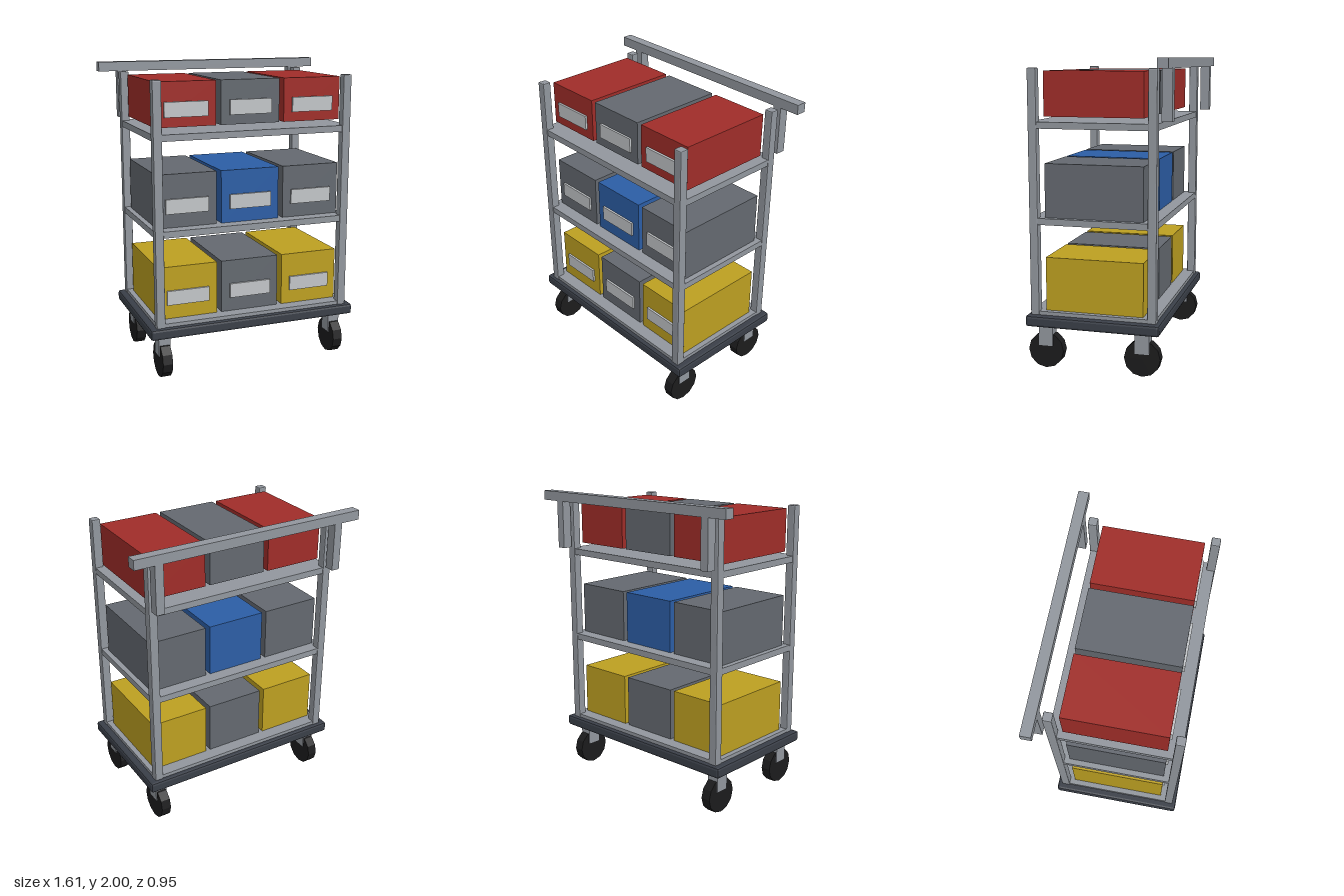
import * as THREE from 'three';
import { RoundedBoxGeometry } from 'three/addons/geometries/RoundedBoxGeometry.js';

const mat = (color) => new THREE.MeshStandardMaterial({ color, flatShading: true });
const M = {
  frame: mat(0x92979e), base: mat(0x3a3f48), tyre: mat(0x1c1c1d), label: mat(0xc2c5c8),
  red: mat(0xa02d29), grey: mat(0x646970), blue: mat(0x2c5ea6), yellow: mat(0xbda021),
};

export function createModel() {
  const cart = new THREE.Group();
  cart.name = 'storageCart';

  function add(name, geometry, material, x, y, z) {
    const mesh = new THREE.Mesh(geometry, material);
    mesh.name = name;
    mesh.position.set(x, y, z);
    cart.add(mesh);
    return mesh;
  }
  // box given by its minimum and maximum on each axis, optionally chamfered
  function block(name, material, [x0, x1], [y0, y1], [z0, z1], chamfer = 0) {
    const size = [x1 - x0, y1 - y0, z1 - z0];
    const geometry = chamfer
      ? new RoundedBoxGeometry(...size, 1, chamfer)
      : new THREE.BoxGeometry(...size);
    return add(name, geometry, material, (x0 + x1) / 2, (y0 + y1) / 2, (z0 + z1) / 2);
  }
  const around = (c, half) => [c - half, c + half];

  // chamfered base platform
  block('basePlatform', M.base, [-0.72, 0.72], [0.29, 0.362], [-0.41, 0.473], 0.016);

  // deck and two shelves
  for (const [name, top] of [['lowerDeck', 0.386], ['middleShelf', 0.995], ['upperShelf', 1.605]]) {
    block(name, M.frame, [-0.672, 0.672], [top - 0.042, top], [-0.377, 0.443]);
  }

  for (const side of [-1, 1]) {
    // corner posts
    for (const z of [-0.353, 0.42]) {
      block('cornerPost', M.frame, around(side * 0.647, 0.029), [0.35, 1.937], around(z, 0.029), 0.007);
    }
    // casters: fork block and faceted wheel
    for (const z of [-0.286, 0.358]) {
      block('casterFork', M.frame, around(side * 0.614, 0.04), [0.15, 0.3], around(z, 0.047));
      const wheel = add('casterWheel', new THREE.CylinderGeometry(0.119, 0.119, 0.066, 12), M.tyre,
        side * 0.614, 0.119, z);
      wheel.rotation.z = Math.PI / 2;
    }
    // handle bracket behind the rear post
    block('handleBracket', M.frame, around(side * 0.645, 0.028), [1.62, 1.94], [-0.474, -0.408]);
  }
  block('pushHandle', M.frame, [-0.805, 0.805], [1.937, 2], [-0.475, -0.407]);

  // three rows of bins, each with a label plate on the front
  const rows = [
    { y: [0.386, 0.736], labelY: 0.528, colors: ['yellow', 'grey', 'yellow'] },
    { y: [0.995, 1.342], labelY: 1.134, colors: ['grey', 'blue', 'grey'] },
    { y: [1.636, 1.92], labelY: 1.747, colors: ['red', 'grey', 'red'] },
  ];
  for (const { y, labelY, colors } of rows) {
    colors.forEach((color, i) => {
      const x = (i - 1) * 0.435;
      block(color + 'Bin', M[color], around(x, 0.201), y, [-0.29, 0.355]);
      block('binLabel', M.label, around(x, 0.144), around(labelY, 0.048), [0.35, 0.369]);
    });
  }
  return cart;
}
